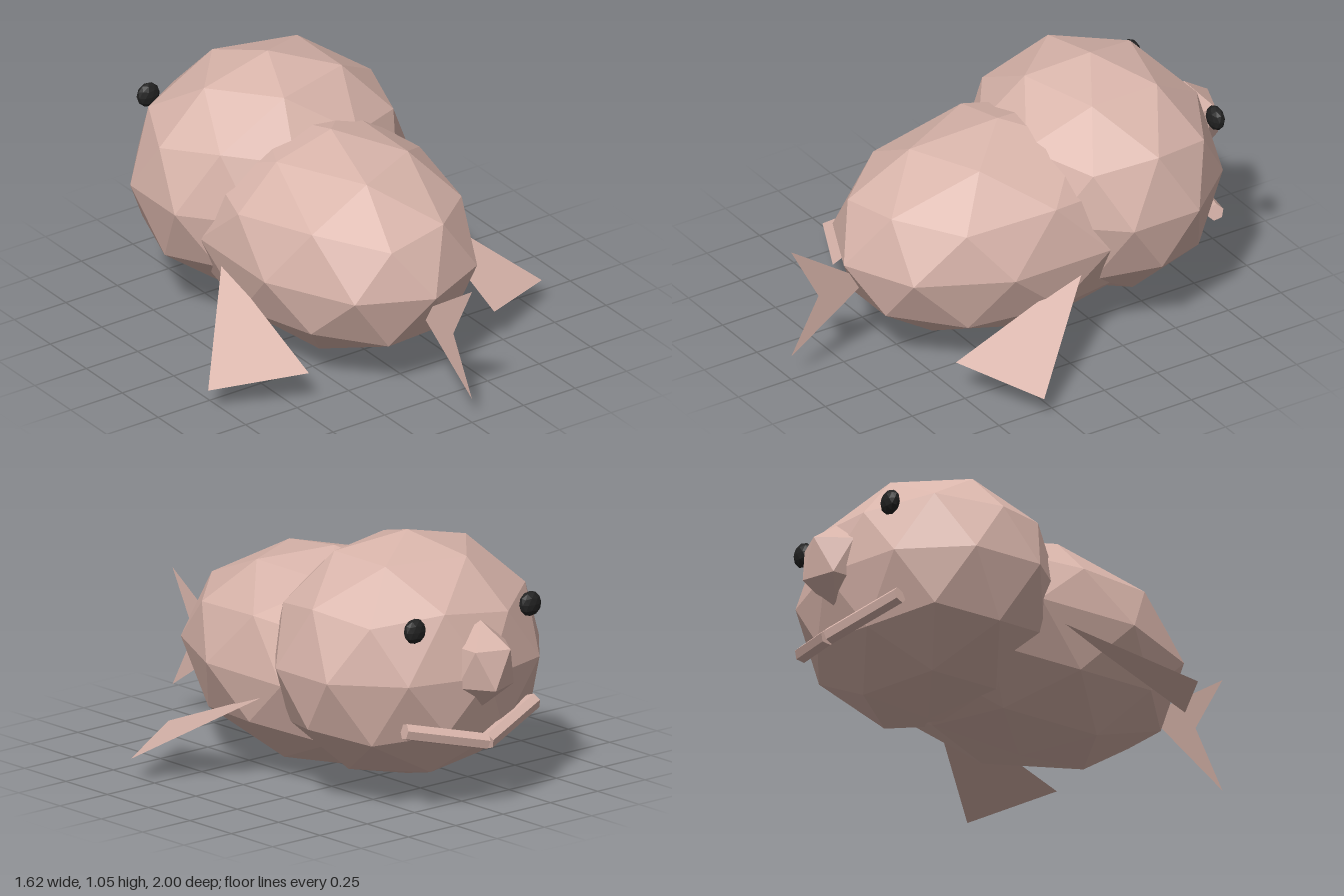
import * as THREE from 'three';

const skin = new THREE.MeshStandardMaterial({ color: 0xd8b4aa, flatShading: true });
const finSkin = new THREE.MeshStandardMaterial({ color: 0xd8b4aa, flatShading: true, side: THREE.DoubleSide });
const black = new THREE.MeshStandardMaterial({ color: 0x222222, flatShading: true });

// Faceted ball with a corner at the top, stretched to the given radii
function ball(name, detail, radii, position, material = skin) {
  const geometry = new THREE.IcosahedronGeometry(1, detail);
  geometry.rotateX(-Math.atan((1 + Math.sqrt(5)) / 2));
  geometry.rotateY(-Math.PI / 2);
  geometry.scale(...radii);
  const mesh = new THREE.Mesh(geometry, material);
  mesh.name = name;
  mesh.position.set(...position);
  return mesh;
}

// Thin sheet from a fan of corners
function sheet(name, corners) {
  const geometry = new THREE.BufferGeometry();
  geometry.setAttribute('position', new THREE.Float32BufferAttribute(corners.flat(), 3));
  const index = [];
  for (let i = 1; i < corners.length - 1; i++) index.push(0, i, i + 1);
  geometry.setIndex(index);
  geometry.computeVertexNormals();
  const mesh = new THREE.Mesh(geometry, finSkin);
  mesh.name = name;
  return mesh;
}

// Six-sided bar between two points
function bar(name, from, to, radius) {
  const a = new THREE.Vector3(...from);
  const b = new THREE.Vector3(...to);
  const direction = b.clone().sub(a);
  const mesh = new THREE.Mesh(new THREE.CylinderGeometry(radius, radius, direction.length(), 6), skin);
  mesh.name = name;
  mesh.position.copy(a).add(b).multiplyScalar(0.5);
  mesh.quaternion.setFromUnitVectors(new THREE.Vector3(0, 1, 0), direction.normalize());
  return mesh;
}

export function createModel() {
  const fish = new THREE.Group();
  fish.name = 'fish';

  // Body, head and nose; the face looks toward -z
  fish.add(
    ball('body', 1, [0.505, 0.447, 0.73], [0, 0.452, 0.02]),
    ball('head', 1, [0.589, 0.505, 0.5], [0, 0.555, -0.42]),
    ball('nose', 0, [0.14, 0.18, 0.16], [0, 0.6, -0.865]),
  );

  // Paired eyes, mouth halves and side fins
  for (const [side, s] of [['left', 1], ['right', -1]]) {
    fish.add(
      ball(side + 'Eye', 1, [0.052, 0.052, 0.032], [s * 0.305, 0.78, -0.815], black),
      bar(side + 'Lip', [0, 0.285, -0.9], [s * 0.34, 0.365, -0.793], 0.035),
      sheet(side + 'Fin', [[s * 0.45, 0.39, -0.095], [s * 0.81, 0.1, 0.325], [s * 0.45, 0.15, 0.51]]),
    );
  }

  // Forked tail: root, upper tip, notch, lower tip
  fish.add(sheet('tail', [[0, 0.35, 0.64], [0, 0.595, 1], [0, 0.35, 0.87], [0, 0.11, 1]]));

  return fish;
}
